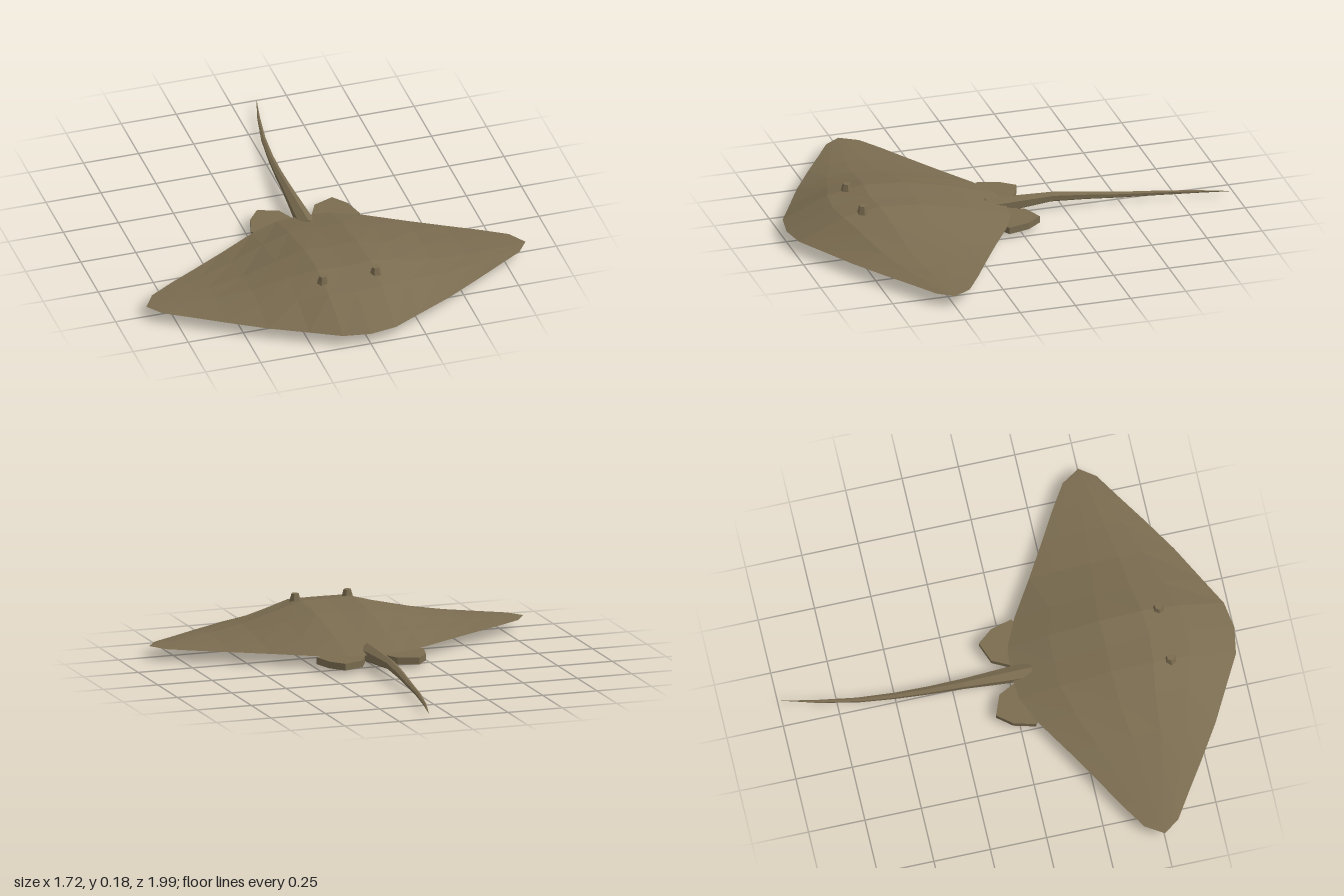
import * as THREE from 'three';

const skin = new THREE.MeshStandardMaterial({ color: 0x7a6c50, flatShading: true });
skin.name = 'olive brown skin';

// Skin a closed surface over rings of equal point count
function loft(rings) {
  const n = rings[0].length, index = [];
  for (let i = 0; i < rings.length - 1; i++) {
    for (let j = 0; j < n; j++) {
      const k = (j + 1) % n;
      const a = i * n + j, b = a + n, c = (i + 1) * n + k, d = i * n + k;
      index.push(a, b, c, a, c, d);
    }
  }
  const g = new THREE.BufferGeometry();
  g.setAttribute('position', new THREE.Float32BufferAttribute(rings.flat(2), 3));
  g.setIndex(index);
  g.computeVertexNormals();
  return g;
}

function addMesh(parent, name, geometry) {
  const mesh = new THREE.Mesh(geometry, skin);
  mesh.name = name;
  parent.add(mesh);
  return mesh;
}

// Flat diamond disc, made of chordwise sections from wing tip to wing tip
function bodyGeometry() {
  // x, front z, back z, height above rim, depth below rim
  const half = [
    [0, 1.0, 0.01, 0.115, 0.037],
    [0.12, 0.98, 0.02, 0.118, 0.036],
    [0.25, 0.91, 0.08, 0.085, 0.028],
    [0.41, 0.825, 0.18, 0.046, 0.016],
    [0.57, 0.725, 0.275, 0.022, 0.007],
    [0.70, 0.64, 0.35, 0.012, 0.003],
    [0.81, 0.57, 0.42, 0.004, 0.001],
    [0.86, 0.5, 0.5, 0, 0],
  ];
  const stations = [...half.slice(1).reverse().map(([x, ...r]) => [-x, ...r]), ...half];
  // chord fraction, relative height (negative on the belly)
  const section = [
    [0, 0], [0.21, 0.75], [0.38, 1], [0.575, 0.87], [0.81, 0.46], [1, 0],
    [0.81, -0.42], [0.575, -0.85], [0.38, -1], [0.21, -0.88],
  ];
  return loft(stations.map(([x, front, back, up, down]) =>
    section.map(([u, h]) => [x, 0.05 + h * (h > 0 ? up : down), front + (back - front) * u])));
}

// Whip tail, tapering and curving to one side
function tailGeometry() {
  // x, y, z, radius
  const path = [
    [0, 0.042, 0.1, 0], [0, 0.042, 0.1, 0.042], [0, 0.047, -0.03, 0.034],
    [0.001, 0.053, -0.2, 0.023], [0.008, 0.042, -0.35, 0.018],
    [0.02, 0.03, -0.5, 0.014], [0.038, 0.024, -0.66, 0.011],
    [0.07, 0.022, -0.83, 0.007], [0.11, 0.02, -0.99, 0],
  ];
  return loft(path.map(([x, y, z, r]) => Array.from({ length: 6 }, (_, j) => {
    const a = Math.PI / 6 + j * Math.PI / 3;
    return [x + r * Math.cos(a), y + r * Math.sin(a), z];
  })));
}

// Small rounded pelvic fin, extruded downwards from a plan outline
function finGeometry(side) {
  const outline = [[0.04, 0.02], [0.08, -0.06], [0.17, -0.095], [0.222, -0.03],
    [0.247, 0.065], [0.13, 0.14]];
  const shape = new THREE.Shape(outline.map(([x, z]) => new THREE.Vector2(side * x, z)));
  const g = new THREE.ExtrudeGeometry(shape, { depth: 0.03, bevelEnabled: false });
  return g.rotateX(Math.PI / 2).translate(0, 0.048, 0);
}

export function createModel() {
  const model = new THREE.Group();
  model.name = 'ray';
  addMesh(model, 'body', bodyGeometry());
  addMesh(model, 'tail', tailGeometry());

  // Paired fins and eye stalks
  for (const side of [1, -1]) {
    const label = side > 0 ? 'left' : 'right';
    addMesh(model, label + 'PelvicFin', finGeometry(side));
    const eye = addMesh(model, label + 'Eye',
      new THREE.CylinderGeometry(0.017, 0.028, 0.04, 6).rotateY(Math.PI / 6));
    eye.position.set(side * 0.12, 0.163, 0.69);
  }
  return model;
}
